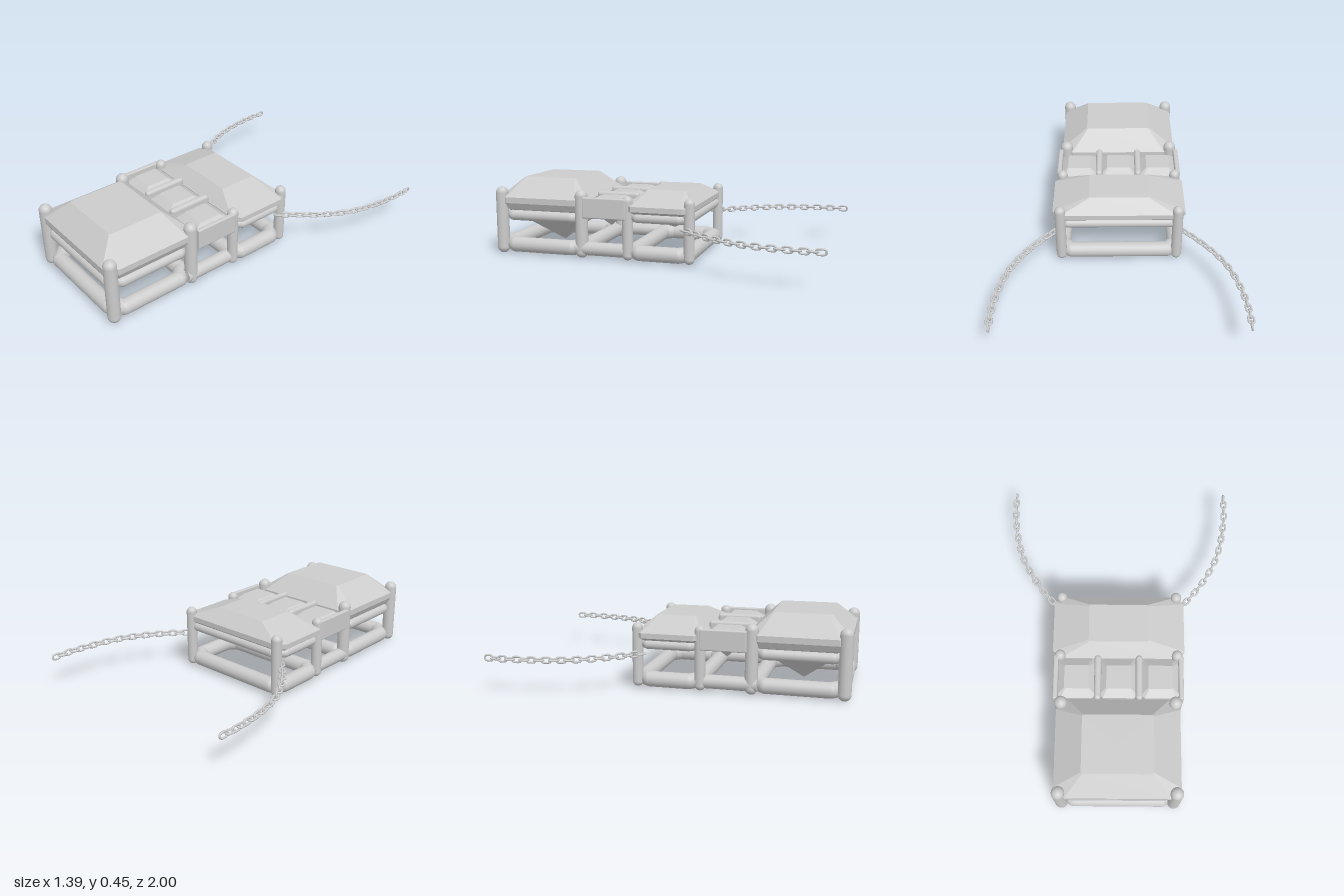
import * as THREE from 'three';
import { RoundedBoxGeometry } from 'three/addons/geometries/RoundedBoxGeometry.js';

const metal = new THREE.MeshStandardMaterial({ color: 0xcccccc });
const stone = new THREE.MeshStandardMaterial({ color: 0xcccccc, flatShading: true });

function add(parent, name, geometry, material = metal, x = 0, y = 0, z = 0) {
  const mesh = new THREE.Mesh(geometry, material);
  mesh.name = name;
  mesh.position.set(x, y, z);
  parent.add(mesh);
  return mesh;
}

// Rectangle with cut corners, running from +x towards +z
function octagon(hx, hz, c, y) {
  return [
    [hx, -hz + c], [hx, hz - c], [hx - c, hz], [-hx + c, hz],
    [-hx, hz - c], [-hx, -hz + c], [-hx + c, -hz], [hx - c, -hz],
  ].map(([x, z]) => new THREE.Vector3(x, y, z));
}

// Step-cut gem: rings of [halfX, halfZ, cornerCut, y] from the table down
function gemGeometry(rings) {
  const loops = rings.map(([hx, hz, c, y]) => octagon(hx, hz, c, y));
  const points = [];
  const last = loops.length - 1;
  const top = new THREE.Vector3(0, rings[0][3], 0);
  const tip = new THREE.Vector3(0, rings[last][3], 0);
  for (let i = 0; i < 8; i++) {
    const j = (i + 1) % 8;
    points.push(top, loops[0][j], loops[0][i]);
    for (let k = 0; k < last; k++) {
      const a = loops[k], b = loops[k + 1];
      points.push(a[i], a[j], b[i], a[j], b[j], b[i]);
    }
    points.push(tip, loops[last][i], loops[last][j]);
  }
  const geometry = new THREE.BufferGeometry().setFromPoints(points);
  geometry.computeVertexNormals();
  return geometry;
}

// Round bar between two points
function bar(parent, name, a, b, r) {
  const mesh = add(parent, name, new THREE.CylinderGeometry(r, r, a.distanceTo(b), 20));
  mesh.position.copy(a).lerp(b, 0.5);
  mesh.quaternion.setFromUnitVectors(new THREE.Vector3(0, 1, 0), b.clone().sub(a).normalize());
}

// Closed rail with cut corners and rounded joints
function rail(parent, name, hx, hz, cut, y, r) {
  const group = new THREE.Group();
  group.name = name;
  const pts = octagon(hx, hz, cut, y);
  pts.forEach((p, i) => {
    bar(group, name + 'Bar', p, pts[(i + 1) % 8], r);
    add(group, name + 'Joint', new THREE.SphereGeometry(r, 16, 10), metal, p.x, p.y, p.z);
  });
  parent.add(group);
}

// Gem held by four prongs and two rails
function setting(name, z, s) {
  const group = new THREE.Group();
  group.name = name;
  group.position.z = z;
  add(group, 'gem', gemGeometry(s.gem), stone);
  rail(group, 'upperRail', ...s.upper);
  rail(group, 'lowerRail', ...s.lower);
  const [px, pz, r, y0, y1] = s.prong;
  for (const sx of [-1, 1]) for (const sz of [-1, 1]) {
    add(group, 'prong', new THREE.CapsuleGeometry(r, y1 - y0 - 2 * r, 8, 20),
      metal, sx * px, (y0 + y1) / 2, sz * pz);
  }
  return group;
}

// Oval chain link lying along z, flat in the xz plane
function linkGeometry() {
  const pts = [];
  for (let i = 0; i < 12; i++) {
    const t = (i / 12) * Math.PI * 2;
    const end = Math.sign(Math.round(Math.sin(t) * 10)) * 0.012;
    pts.push(new THREE.Vector3(Math.cos(t) * 0.015, 0, Math.sin(t) * 0.014 + end));
  }
  return new THREE.TubeGeometry(new THREE.CatmullRomCurve3(pts, true), 28, 0.006, 8, true);
}

// Chain of alternately turned links, side = 1 or -1
function chain(side, geometry) {
  const group = new THREE.Group();
  group.name = side > 0 ? 'leftChain' : 'rightChain';
  const path = new THREE.CatmullRomCurve3([
    [0.672, -0.97], [0.673, -0.88], [0.655, -0.71], [0.61, -0.54],
    [0.54, -0.405], [0.455, -0.29], [0.36, -0.185],
  ].map(([x, z]) => new THREE.Vector3(side * x, 0.205, z)));
  const count = 22;
  for (let i = 0; i < count; i++) {
    const p = path.getPointAt(i / (count - 1));
    const t = path.getTangentAt(i / (count - 1));
    const link = add(group, 'chainLink', geometry, metal, p.x, p.y, p.z);
    link.rotation.set(0, Math.atan2(t.x, t.z), i % 2 ? 0.12 : Math.PI / 2 - 0.12, 'YXZ');
  }
  return group;
}

export function createModel() {
  const model = new THREE.Group();
  model.name = 'pendantNecklace';

  // Large front stone
  model.add(setting('frontSetting', 0.704, {
    gem: [[0.2, 0.165, 0.008, 0.453], [0.355, 0.282, 0.06, 0.345],
      [0.355, 0.282, 0.06, 0.31], [0.335, 0.262, 0.055, 0.272], [0.004, 0.004, 0.001, 0.04]],
    upper: [0.32, 0.245, 0.06, 0.236, 0.032],
    lower: [0.315, 0.24, 0.06, 0.055, 0.045],
    prong: [0.328, 0.256, 0.037, 0.003, 0.406],
  }));

  // Wide rear stone
  model.add(setting('rearSetting', -0.025, {
    gem: [[0.175, 0.115, 0.008, 0.403], [0.387, 0.195, 0.045, 0.33],
      [0.387, 0.195, 0.045, 0.3], [0.365, 0.178, 0.04, 0.285], [0.004, 0.004, 0.001, 0.155]],
    upper: [0.35, 0.17, 0.05, 0.262, 0.028],
    lower: [0.335, 0.165, 0.05, 0.055, 0.045],
    prong: [0.342, 0.183, 0.031, 0.01, 0.384],
  }));

  // Row of three small stones with dividers
  const row = new THREE.Group();
  row.name = 'smallStoneRow';
  row.position.z = 0.293;
  const smallGem = gemGeometry([[0.07, 0.07, 0.006, 0.362], [0.11, 0.118, 0.02, 0.33],
    [0.11, 0.118, 0.02, 0.305], [0.004, 0.004, 0.001, 0.195]]);
  for (const x of [-0.243, 0, 0.243]) add(row, 'smallGem', smallGem, stone, x);
  const divider = new RoundedBoxGeometry(0.04, 0.125, 0.265, 4, 0.018);
  for (const x of [-0.12, 0.12]) add(row, 'divider', divider, metal, x, 0.31);
  const plate = new RoundedBoxGeometry(0.028, 0.122, 0.265, 3, 0.008);
  for (const x of [-0.363, 0.363]) {
    add(row, 'sidePlate', plate, metal, x, 0.308);
    const rx = Math.sign(x) * 0.325;
    bar(row, 'linkBar', new THREE.Vector3(rx, 0.06, -0.16), new THREE.Vector3(rx, 0.06, 0.19), 0.04);
  }
  model.add(row);

  // Chains
  const link = linkGeometry();
  model.add(chain(1, link), chain(-1, link));
  return model;
}
